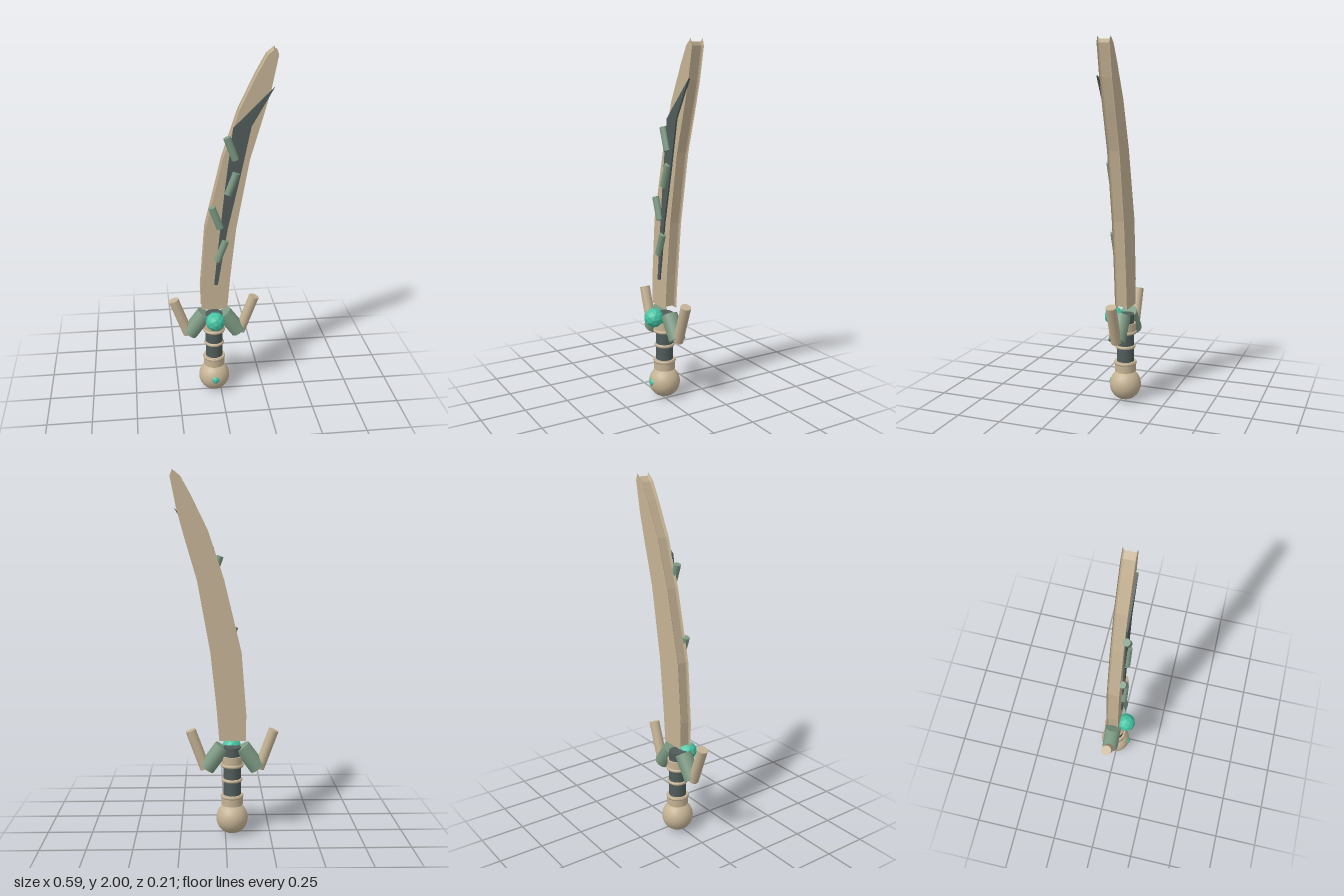
import * as THREE from 'three';

const material = (color, flatShading = false) => new THREE.MeshStandardMaterial({ color, flatShading });

export function createModel() {
  const sword = new THREE.Group();
  const bone = material(0xc4b294);
  const green = material(0x7d9a83);
  const dark = material(0x505c5a);
  const gemMat = material(0x45c4a3, true);
  const AX = -0.038, AZ = -0.017; // handle axis

  const add = (name, geometry, mat, x, y, z, tilt = 0) => {
    const mesh = new THREE.Mesh(geometry, mat);
    mesh.name = name;
    mesh.position.set(x, y, z);
    mesh.rotation.z = tilt;
    sword.add(mesh);
    return mesh;
  };
  const rod = (r, length, sides = 16) => new THREE.CylinderGeometry(r, r, length, sides);
  const outline = (points) => new THREE.Shape(points.map(([x, y]) => new THREE.Vector2(x, y)));

  // Curved blade: full-size faces with an inset rim between them
  const blade = outline([
    [-0.112, 0.543], [0.034, 0.543], [0.05, 0.74], [0.082, 1.035], [0.151, 1.42], [0.215, 1.64],
    [0.257, 1.793], [0.291, 1.965], [0.278, 2.0], [0.235, 1.965], [0.185, 1.875],
    [0.093, 1.687], [0.008, 1.43], [-0.087, 1.035], [-0.114, 0.69],
  ]);
  add('blade', new THREE.ExtrudeGeometry(blade, {
    depth: 0.049, bevelEnabled: true, bevelThickness: 0.01, bevelSize: -0.012, bevelSegments: 2,
  }), bone, 0, 0, -0.041);

  // Dark inlay on the front of the blade
  const inlay = outline([
    [-0.04, 0.7], [-0.02, 0.7], [0.034, 1.035], [0.1, 1.33], [0.156, 1.602],
    [0.273, 1.804], [0.061, 1.597], [0.02, 1.27], [-0.022, 0.88],
  ]);
  add('bladeInlay', new THREE.ExtrudeGeometry(inlay, { depth: 0.01, bevelEnabled: false }), dark, 0, 0, 0.017);

  // Short rods lashed across the inlay, tilting alternately
  [[0.05, 1.488], [0.056, 1.295], [-0.03, 1.104], [0, 0.908]].forEach(([x, y], i) => {
    add('bladeStud', rod(0.02, 0.129, 12), green, x, y, 0.029, i % 2 ? -0.36 : 0.36);
  });

  // Guard: drooping arms that carry upright horns
  for (const side of [-1, 1]) {
    add('guardArm', rod(0.047, 0.15), green, AX + side * 0.098, 0.44, AZ, side * 0.63);
    add('guardHorn', rod(0.029, 0.232), bone, AX + side * 0.19, 0.486, AZ, -side * 0.35);
  }

  // Grip with collars and rings
  add('grip', rod(0.049, 0.34, 20), dark, AX, 0.33, AZ);
  add('lowerCollar', rod(0.06, 0.06, 24), bone, AX, 0.198, AZ);
  add('upperCollar', rod(0.058, 0.06, 24), bone, AX, 0.42, AZ);
  for (const [y, r] of [[0.218, 0.055], [0.312, 0.048], [0.397, 0.055]]) {
    add('gripRing', new THREE.TorusGeometry(r, 0.01, 8, 24), bone, AX, y, AZ).rotation.x = Math.PI / 2;
  }

  // Pommel and faceted gems
  add('pommel', new THREE.SphereGeometry(0.089, 24, 18), bone, AX, 0.09, AZ);
  add('guardGem', new THREE.IcosahedronGeometry(0.055, 1), gemMat, AX, 0.48, 0.051);
  add('pommelGem', new THREE.IcosahedronGeometry(0.027, 1), gemMat, AX, 0.097, 0.053);

  return sword;
}
